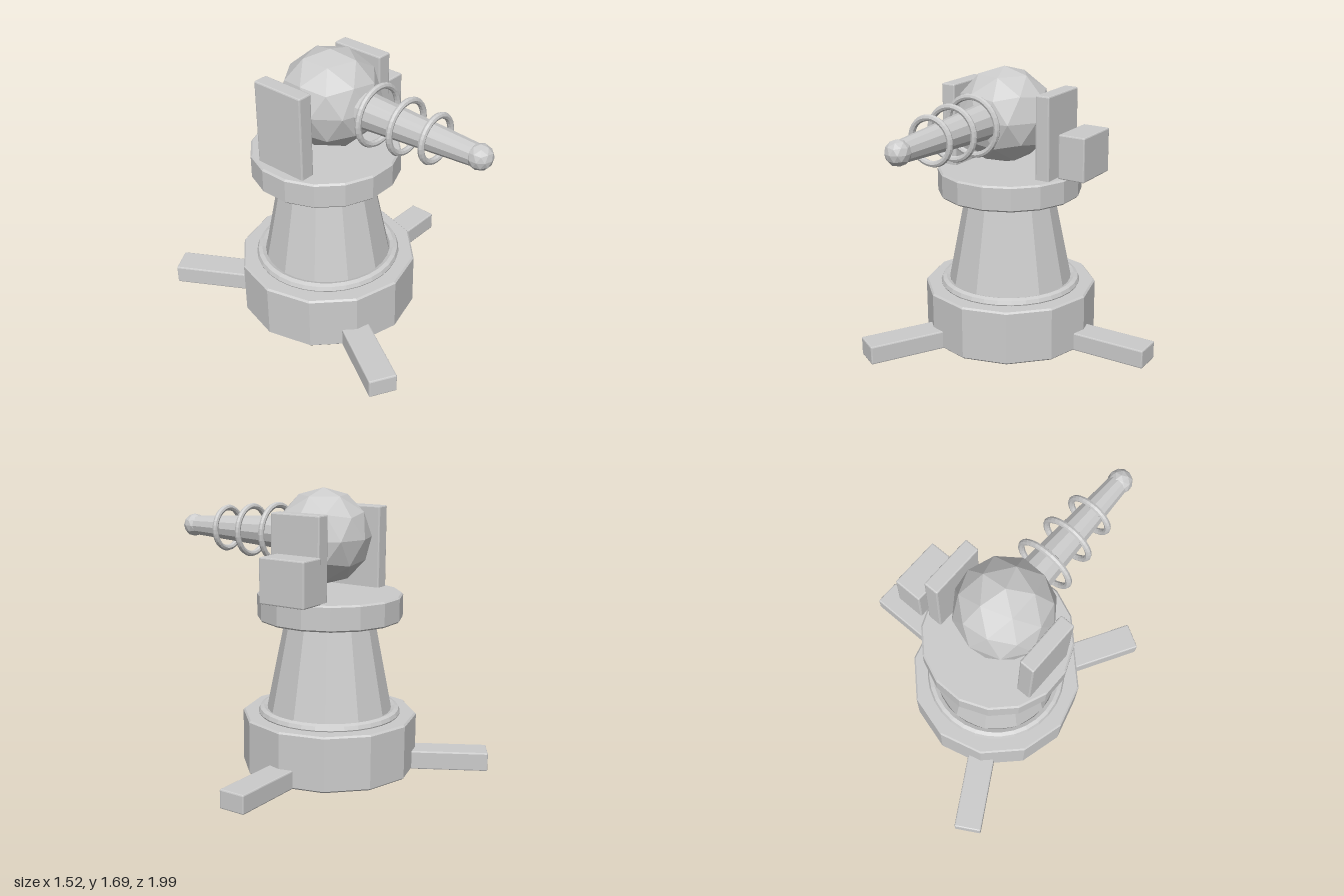
import * as THREE from 'three';
import { RoundedBoxGeometry } from 'three/addons/geometries/RoundedBoxGeometry.js';

const CX = -0.208, CZ = -0.121; // vertical axis of the turret
const GUN_Y = 1.404;

const grey = new THREE.MeshStandardMaterial({ color: 0xcccccc, flatShading: true });

function add(parent, name, geometry, x = 0, y = 0, z = 0) {
  const mesh = new THREE.Mesh(geometry, grey);
  mesh.name = name;
  mesh.position.set(x, y, z);
  parent.add(mesh);
  return mesh;
}

// Box with a narrow bevel
const box = (w, h, d) => new RoundedBoxGeometry(w, h, d, 1, 0.008);

// Faceted drum from y0 to y1 with chamfered rims
function drum(rBottom, rTop, y0, y1, sides, bevel, turn = 0) {
  const profile = [
    [0, y0], [rBottom - bevel, y0], [rBottom, y0 + bevel],
    [rTop, y1 - bevel], [rTop - bevel, y1], [0, y1],
  ].map(([r, y]) => new THREE.Vector2(r, y));
  return new THREE.LatheGeometry(profile, sides, turn);
}

// Faceted ball with a corner pointing straight up
function ball(r) {
  const g = new THREE.IcosahedronGeometry(r, 1);
  g.rotateX(-Math.atan((1 + Math.sqrt(5)) / 2));
  g.rotateY(Math.PI / 2);
  return g;
}

export function createModel() {
  const model = new THREE.Group();
  model.name = 'turret';

  const turret = new THREE.Group();
  turret.name = 'turretBody';
  turret.position.set(CX, 0, CZ);
  model.add(turret);

  // Base, collar, column and platform
  add(turret, 'base', drum(0.529, 0.529, 0.003, 0.338, 12, 0.01));
  const collar = new THREE.TorusGeometry(0.4, 0.032, 8, 32);
  collar.rotateX(Math.PI / 2);
  add(turret, 'collar', collar, 0, 0.345, 0);
  add(turret, 'column', drum(0.385, 0.266, 0.33, 0.93, 12, 0.001));
  add(turret, 'platform', drum(0.436, 0.436, 0.921, 1.074, 16, 0.01, Math.PI / 16));

  // Three feet spread evenly around the base
  for (let i = 0; i < 3; i++) {
    const foot = new THREE.Group();
    foot.name = 'foot' + (i + 1);
    foot.rotation.y = (i * Math.PI * 2) / 3;
    add(foot, 'footBar', box(0.565, 0.114, 0.166), 0.682, 0.06, 0);
    turret.add(foot);
  }

  // Yoke plates either side of the ball
  for (const side of [-1, 1]) {
    add(turret, side > 0 ? 'leftYoke' : 'rightYoke', box(0.09, 0.51, 0.333), side * 0.326, 1.315, 0);
  }
  add(turret, 'sideBox', box(0.171, 0.265, 0.303), 0.481, 1.212, -0.048);

  // Gun: ball mount, tapered barrel, rings and tip
  const gun = new THREE.Group();
  gun.name = 'gun';
  gun.position.set(CX, GUN_Y, 0);
  model.add(gun);
  add(gun, 'ballMount', ball(0.288), 0, 0, -0.07);
  const barrel = new THREE.CylinderGeometry(0.061, 0.113, 0.88, 12);
  barrel.rotateX(Math.PI / 2);
  add(gun, 'barrel', barrel, 0, 0, 0.48);
  [[0.267, 0.166], [0.46, 0.147], [0.653, 0.127]].forEach(([z, r], i) => {
    add(gun, 'barrelRing' + (i + 1), new THREE.TorusGeometry(r, 0.018, 8, 32), 0, 0, z);
  });
  add(gun, 'barrelTip', ball(0.072), 0, 0, 0.928);

  return model;
}
